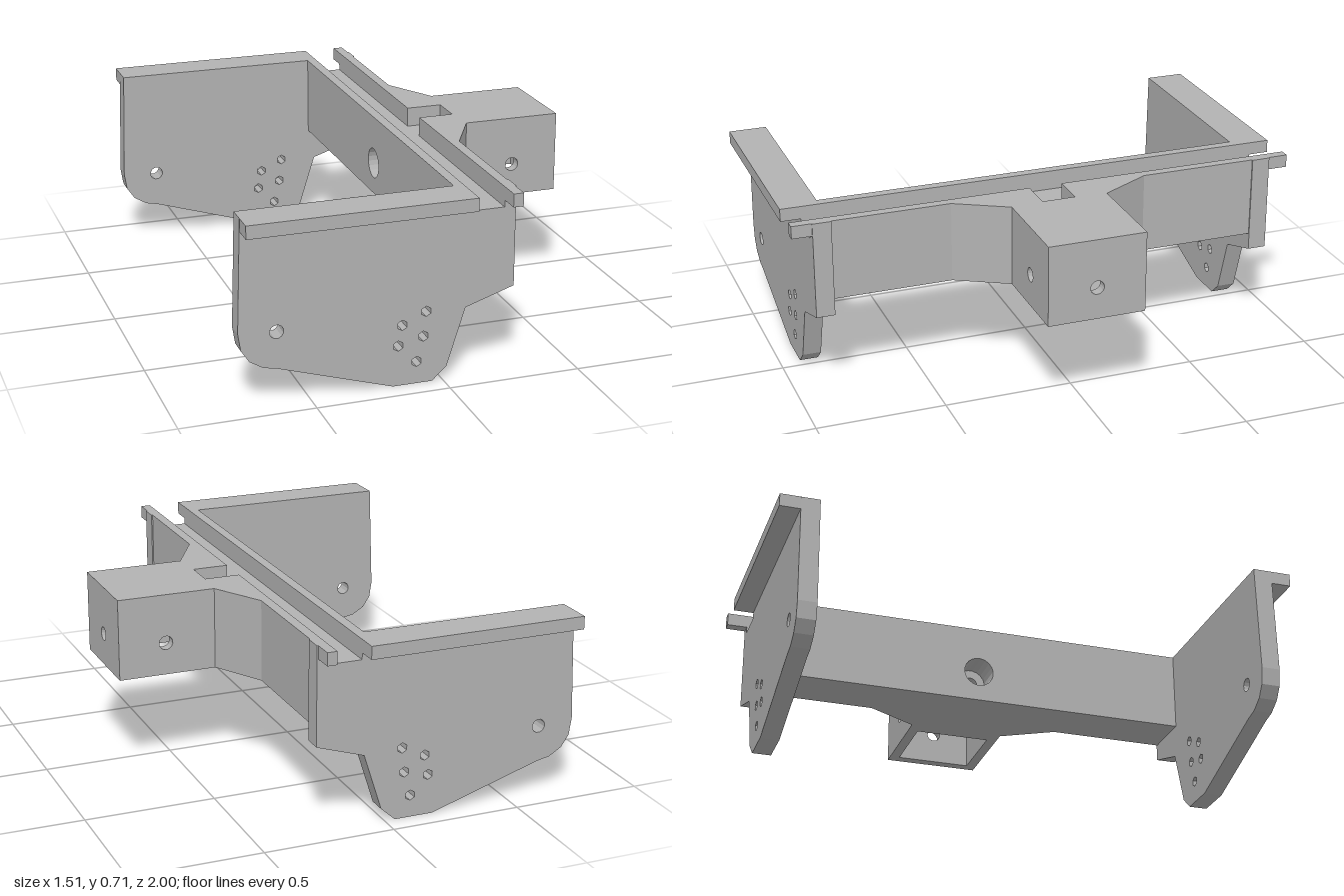
import * as THREE from 'three';

export function createModel() {
  const model = new THREE.Group();
  model.name = 'mountingBracket';
  const grey = new THREE.MeshStandardMaterial({ color: 0xb2b2b2 });
  grey.name = 'plainGrey';

  const add = (name, geometry) => {
    const mesh = new THREE.Mesh(geometry, grey);
    mesh.name = name;
    model.add(mesh);
  };

  // Box given by its limits on each axis
  const box = (name, x0, x1, y0, y1, z0, z1) => {
    const g = new THREE.BoxGeometry(x1 - x0, y1 - y0, z1 - z0);
    g.translate((x0 + x1) / 2, (y0 + y1) / 2, (z0 + z1) / 2);
    add(name, g);
  };

  // Outline extruded from one level to another along an axis; holes are [u, v, radius, sides]
  const slab = (name, axis, outline, from, to, holes = []) => {
    const shape = new THREE.Shape(outline.map(([u, v]) => new THREE.Vector2(u, v)));
    for (const [u, v, r, n] of holes) {
      const ring = [];
      for (let i = 0; i < n; i++) {
        const a = (i + 0.5) / n * Math.PI * 2;
        ring.push(new THREE.Vector2(u + r * Math.cos(a), v + r * Math.sin(a)));
      }
      shape.holes.push(new THREE.Path(ring));
    }
    const g = new THREE.ExtrudeGeometry(shape, { depth: to - from, bevelEnabled: false });
    g.translate(0, 0, from);
    if (axis === 'x') g.rotateY(Math.PI / 2);
    if (axis === 'y') g.rotateX(-Math.PI / 2);
    add(name, g);
  };
  const rect = (u0, u1, v0, v1) => [[u0, v0], [u1, v0], [u1, v1], [u0, v1]];

  const TOP = 0.715, FLOOR = 0.64, BOTTOM = 0.4, LIP = 0.665;
  const BOLT_Y = 0.525, BOLT_R = 0.027;

  // Side plates with bolt holes, and the outward lips along their tops
  const plate = [
    [-0.745, TOP], [-0.76, 0.29], [-0.75, 0.225], [-0.72, 0.18], [-0.67, 0.15], [-0.62, 0.14],
    [-0.19, 0.005], [-0.04, 0.005], [0.015, 0.055], [0.085, 0.275], [0.27, 0.335],
    [0.27, TOP], [0.227, TOP], [0.227, FLOOR], [0.098, FLOOR], [0.098, TOP],
  ];
  const plateHoles = [
    [-0.62, 0.28, 0.026, 12], [-0.155, 0.238, 0.02, 6], [-0.065, 0.28, 0.02, 6],
    [-0.17, 0.16, 0.02, 6], [-0.075, 0.185, 0.02, 6], [-0.1, 0.09, 0.02, 6],
  ];
  for (const s of [1, -1]) {
    const side = s > 0 ? 'left' : 'right';
    const span = (a, b) => (s > 0 ? [a, b] : [-b, -a]);
    slab(side + 'Plate', 'z', plate, ...span(0.85, 0.922), plateHoles);
    box(side + 'PlateLip', -0.745, 0.098, LIP, TOP, ...span(0.922, 1));
    box(side + 'RailEnd', 0.227, 0.265, LIP, TOP, ...span(0.922, 1));

    // Tapered shoulder between the crossbeam and the block
    slab(side + 'Shoulder', 'y',
      [[0.265, s * 0.065], [0.265, s * 0.39], [0.375, s * 0.19], [0.43, s * 0.19], [0.43, s * 0.065]],
      BOTTOM, FLOOR);
    // Block side wall with its cross hole
    slab(side + 'BlockWall', 'z', rect(0.43, 0.715, BOTTOM, FLOOR), ...span(0.15, 0.19),
      [[0.57, BOLT_Y, BOLT_R, 16]]);
  }

  // Crossbeam web: wide counterbore at the inner side, narrow bolt hole beyond
  const web = rect(-0.85, 0.85, BOTTOM, FLOOR);
  slab('crossbeamInner', 'x', web, 0.06, 0.18, [[0, BOLT_Y, 0.06, 20]]);
  slab('crossbeamOuter', 'x', web, 0.18, 0.265, [[0, BOLT_Y, BOLT_R, 16]]);
  box('innerRail', 0.06, 0.098, FLOOR, TOP, -0.85, 0.85);

  // Bored core and end wall of the hollow block
  slab('blockCore', 'x', rect(-0.065, 0.065, BOTTOM, FLOOR), 0.265, 0.43, [[0, BOLT_Y, BOLT_R, 16]]);
  slab('blockEndWall', 'x', rect(-0.19, 0.19, BOTTOM, FLOOR), 0.715, 0.755, [[0, BOLT_Y, BOLT_R, 16]]);

  // Top layer: outer rail, shoulders and block lid, with a square notch
  const half = [[0.365, 0.065], [0.227, 0.065], [0.227, 0.85], [0.265, 0.85],
    [0.265, 0.39], [0.375, 0.19], [0.755, 0.19]];
  const mirrored = half.map(([x, z]) => [x, -z]).reverse();
  slab('outerRailAndBlockLid', 'y', [...half, ...mirrored], FLOOR, TOP);

  return model;
}
